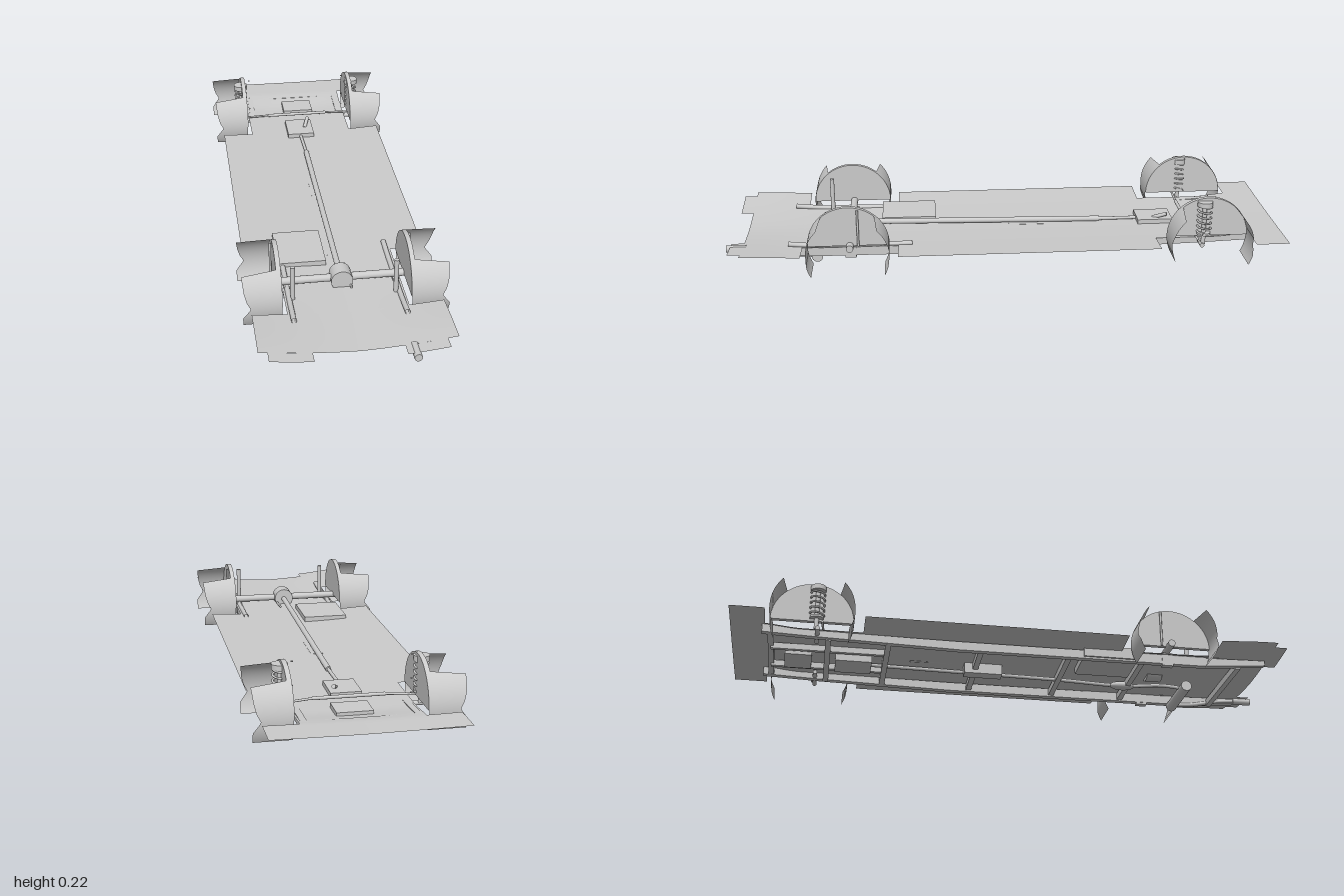
import * as THREE from 'three';
import { toCreasedNormals } from 'three/addons/utils/BufferGeometryUtils.js';

const mat = new THREE.MeshStandardMaterial({ color: 0xcccccc, side: THREE.DoubleSide });
const V = (x, y, z) => new THREE.Vector3(x, y, z);
const lerp = THREE.MathUtils.lerp, step = THREE.MathUtils.smoothstep;

function add(parent, name, geo, x = 0, y = 0, z = 0) {
  const m = new THREE.Mesh(geo, mat);
  m.name = name;
  m.position.set(x, y, z);
  parent.add(m);
  return m;
}
// box given by its limits
function box(parent, name, x0, x1, y0, y1, z0, z1) {
  return add(parent, name, new THREE.BoxGeometry(x1 - x0, y1 - y0, z1 - z0),
    (x0 + x1) / 2, (y0 + y1) / 2, (z0 + z1) / 2);
}
// round bar between two points
function rod(parent, name, a, b, r, r2 = r) {
  const m = add(parent, name, new THREE.CylinderGeometry(r2, r, a.distanceTo(b), 20));
  m.position.copy(a).lerp(b, 0.5);
  m.quaternion.setFromUnitVectors(V(0, 1, 0), b.clone().sub(a).normalize());
  return m;
}
function tube(parent, name, points, r, n = 60) {
  return add(parent, name, new THREE.TubeGeometry(new THREE.CatmullRomCurve3(points), n, r, 10));
}
// height of the slightly dished floor
function floorY(x, z) {
  const end = step(z, 0.6, 0.92), nose = 1 - step(z, -0.9, -0.75);
  const dish = lerp(lerp(0.013, 0.026, end), 0.003, nose);
  return 0.057 + 0.016 * nose + dish * Math.pow(Math.abs(x) / 0.315, 1.6);
}
function panel(parent, name, x0, x1, z0, z1) {
  const g = new THREE.PlaneGeometry(x1 - x0, z1 - z0, 16, 16).rotateX(-Math.PI / 2);
  g.translate((x0 + x1) / 2, 0, (z0 + z1) / 2);
  const p = g.attributes.position;
  for (let i = 0; i < p.count; i++) p.setY(i, floorY(p.getX(i), p.getZ(i)));
  g.computeVertexNormals();
  add(parent, name, g);
}

// curved flap following the wheel circle, with a waisted outer edge
function flapGeometry(dir) {
  const R = 0.145, cy = 0.08, rows = 24, cols = 6, pos = [], idx = [];
  const outer = [[0.01, 0.34], [0.045, 0.341], [0.08, 0.315], [0.105, 0.328], [0.135, 0.336], [0.181, 0.341]];
  const edge = y => {
    let k = 0;
    while (k < outer.length - 2 && y > outer[k + 1][0]) k++;
    const [a, b] = [outer[k], outer[k + 1]];
    return lerp(a[1], b[1], THREE.MathUtils.clamp((y - a[0]) / (b[0] - a[0]), 0, 1));
  };
  for (let i = 0; i <= rows; i++) for (let j = 0; j <= cols; j++) {
    const u = j / cols, y = lerp(0.01, lerp(0.193, 0.181, u), i / rows);
    pos.push(lerp(0.214, edge(y), u), y, dir * Math.sqrt(R * R - (y - cy) ** 2));
    if (i < rows && j < cols) {
      const a = i * (cols + 1) + j, b = a + cols + 1;
      if (dir > 0) idx.push(a, a + 1, b, b, a + 1, b + 1);
      else idx.push(a, b, a + 1, b, b + 1, a + 1);
    }
  }
  const g = new THREE.BufferGeometry();
  g.setAttribute('position', new THREE.Float32BufferAttribute(pos, 3));
  g.setIndex(idx);
  g.computeVertexNormals();
  return g;
}

function wheelArch(parent, side, z) {
  const g = new THREE.Group();
  g.name = 'wheelArch';
  g.position.z = z;
  parent.add(g);
  const s = new THREE.Shape();
  s.absarc(0, 0, 0.144, 0, Math.PI);
  s.closePath();
  const plate = new THREE.ExtrudeGeometry(s, { depth: 0.016, bevelEnabled: false, curveSegments: 40 });
  plate.rotateY(Math.PI / 2);
  add(g, 'archPlate', toCreasedNormals(plate, 0.6), side > 0 ? 0.212 : -0.228, 0.08, 0);
  for (const d of [-1, 1]) {
    const f = flapGeometry(d);
    if (side < 0) f.rotateY(Math.PI);
    add(g, 'archFlap', f);
  }
}

// longitudinal rail following the underside
function railGeometry() {
  const stations = [[0.93, 0.047, 0.066], [0.68, 0.028, 0.06], [-0.2, 0.026, 0.058], [-0.7, 0.038, 0.062], [-0.89, 0.045, 0.074]];
  const s = new THREE.Shape();
  stations.forEach(([z, lo], i) => i ? s.lineTo(z, lo) : s.moveTo(z, lo));
  [...stations].reverse().forEach(([z, , hi]) => s.lineTo(z, hi));
  s.closePath();
  const g = new THREE.ExtrudeGeometry(s, { depth: 0.022, bevelEnabled: false });
  return g.rotateY(-Math.PI / 2).translate(0.011, 0, 0);
}

export function createModel() {
  const root = new THREE.Group();
  root.name = 'chassis';

  // floor pan with wheel cut-outs
  const floor = new THREE.Group();
  floor.name = 'floorPan';
  root.add(floor);
  for (const [w, a, b] of [[0.315, -1, -0.88], [0.2, -0.88, -0.54], [0.315, -0.54, 0.39], [0.2, 0.39, 0.73], [0.315, 0.73, 0.94]])
    panel(floor, 'floorPanel', -w, w, a, b);
  panel(floor, 'floorTab', -0.285, -0.145, 0.94, 0.985);
  panel(floor, 'floorTab', 0.145, 0.28, 0.94, 0.985);

  // frame
  for (const z of [0.83, 0.47, 0.2, -0.12, -0.45, -0.66, -0.86])
    box(root, 'crossMember', -0.18, 0.18, z < -0.8 ? 0.045 : 0.032, z < -0.8 ? 0.07 : 0.056, z - 0.01, z + 0.01);
  for (const x of [-0.075, 0.075])
    box(root, 'innerRail', x - 0.007, x + 0.007, 0.036, 0.058, -0.86, -0.45);

  for (const s of [-1, 1]) {
    add(root, 'frameRail', railGeometry(), s * 0.182, 0, 0);
    wheelArch(root, s, 0.565);
    wheelArch(root, s, -0.72);

    // sprung axle: leaf spring, shackle and shock absorber
    const leaf = V(s * 0.184, 0, 0);
    tube(root, 'leafSpring', [[0.34, 0.066], [0.45, 0.062], [0.56, 0.063], [0.67, 0.064], [0.78, 0.074]]
      .map(([z, y]) => V(leaf.x, y, z)), 0.009);
    box(root, 'springBracket', s * 0.184 - 0.011, s * 0.184 + 0.011, 0.02, 0.07, 0.54, 0.58);
    rod(root, 'shockAbsorber', V(s * 0.172, 0.06, 0.64), V(s * 0.172, 0.185, 0.64), 0.008);
    rod(root, 'damperRod', V(s * 0.234, 0.08, 0.53), V(s * 0.234, 0.215, 0.53), 0.004);

    // coil strut
    const coil = [];
    for (let i = 0; i <= 60; i++) {
      const t = i / 60, a = t * Math.PI * 10;
      coil.push(V(s * 0.231 + 0.022 * Math.cos(a), lerp(0.095, 0.195, t), -0.705 + 0.024 * Math.sin(a)));
    }
    tube(root, 'coilSpring', coil, 0.0035, 200);
    rod(root, 'strut', V(s * 0.231, 0.05, -0.705), V(s * 0.231, 0.2, -0.705), 0.008);
    add(root, 'strutMount', new THREE.CylinderGeometry(0.027, 0.027, 0.018, 28), s * 0.231, 0.204, -0.705);
    add(root, 'springSeat', new THREE.CylinderGeometry(0.024, 0.024, 0.008, 28), s * 0.231, 0.092, -0.705);
    rod(root, 'controlArm', V(s * 0.13, 0.048, -0.7), V(s * 0.245, 0.048, -0.7), 0.008);
    rod(root, 'steeringLink', V(s * 0.12, 0.078, -0.676), V(s * 0.25, 0.07, -0.685), 0.004);
    for (const y of [0.093, 0.142, 0.222])
      rod(root, 'bolt', V(s * 0.191, y, -0.72), V(s * 0.198, y, -0.72), 0.002);
  }
  rod(root, 'steeringRack', V(-0.12, 0.078, -0.676), V(0.12, 0.078, -0.676), 0.006);

  // drive line
  rod(root, 'axleTube', V(-0.26, 0.08, 0.56), V(0.26, 0.08, 0.56), 0.013);
  rod(root, 'differential', V(0, 0.08, 0.53), V(0, 0.08, 0.588), 0.037);
  rod(root, 'driveShaft', V(0, 0.064, -0.36), V(0, 0.078, 0.53), 0.01);
  rod(root, 'driveShaftFront', V(-0.004, 0.063, -0.5), V(0, 0.064, -0.36), 0.006);
  box(root, 'shaftSupport', -0.022, 0.022, 0.018, 0.058, -0.16, -0.02);
  box(root, 'gearbox', -0.055, 0.05, 0.017, 0.074, -0.63, -0.5);
  rod(root, 'gearLever', V(0.018, 0.07, -0.56), V(0.036, 0.09, -0.61), 0.007);
  box(root, 'oilPan', -0.05, 0.07, 0.032, 0.074, -0.81, -0.715);

  // fuel tank and exhaust
  box(root, 'fuelTank', -0.2, -0.035, 0.034, 0.076, 0.25, 0.45);
  tube(root, 'exhaustPipe', [V(0.03, 0.045, -0.52), V(0.035, 0.043, -0.2), V(0.04, 0.04, 0.2), V(0.05, 0.037, 0.46), V(0.03, 0.04, 0.6), V(0.01, 0.025, 0.68)], 0.007);
  const res = add(root, 'resonator', new THREE.SphereGeometry(0.02, 20, 14), 0.05, 0.037, 0.45);
  res.scale.set(1, 0.8, 2.4);
  rod(root, 'muffler', V(-0.028, 0.021, 0.68), V(0.181, 0.021, 0.68), 0.02);
  tube(root, 'tailPipe', [V(0.165, 0.022, 0.69), V(0.172, 0.03, 0.76), V(0.175, 0.05, 0.86), V(0.175, 0.058, 0.94)], 0.008);
  rod(root, 'tailPipeTip', V(0.175, 0.058, 0.93), V(0.175, 0.058, 1.0), 0.013);
  rod(root, 'brakeLine', V(0.026, 0.065, 0.46), V(0.03, 0.062, 0.6), 0.004);

  return root;
}
